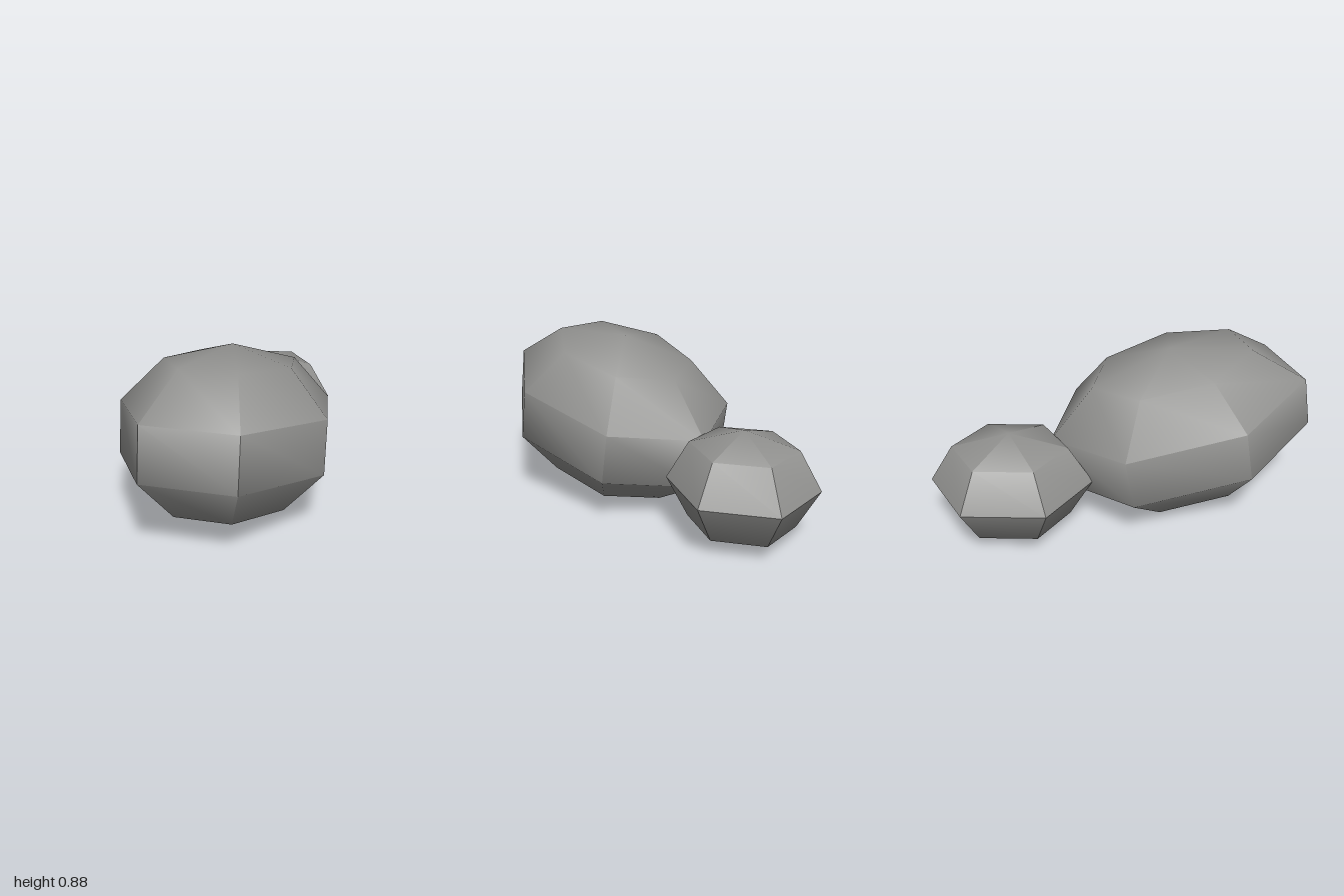
import * as THREE from 'three';
import { mergeVertices, toCreasedNormals } from 'three/addons/utils/BufferGeometryUtils.js';

const CREASE = 0.85;

// Low-poly unit sphere stretched along three axis vectors, then moved to its centre
function makeRock(name, material, sides, rings, axes, centre) {
  const [x, y, z] = axes.map((a) => new THREE.Vector3(...a));
  let geometry = new THREE.SphereGeometry(1, sides, rings);
  geometry.applyMatrix4(new THREE.Matrix4().makeBasis(x, y, z));
  geometry.deleteAttribute('normal');
  geometry.deleteAttribute('uv');
  geometry = toCreasedNormals(mergeVertices(geometry, 1e-4), CREASE);
  const mesh = new THREE.Mesh(geometry, material);
  mesh.name = name;
  mesh.position.set(...centre);
  return mesh;
}

export function createModel() {
  const group = new THREE.Group();
  group.name = 'rocks';

  const stone = new THREE.MeshStandardMaterial({ color: 0x929290 });
  stone.name = 'stone grey';

  // Large boulder, tilted and slightly skewed
  group.add(makeRock('largeRock', stone, 7, 5,
    [[0.714, -0.121, 0], [0.07, 0.435, -0.025], [-0.123, 0.058, 0.588]],
    [-0.30, 0.45, 0.071]));

  // Small upright rock touching its back left end
  group.add(makeRock('smallRock', stone, 6, 4,
    [[0.42, 0, 0], [0, 0.285, 0], [0, 0, 0.376]],
    [0.58, 0.285, -0.305]));

  return group;
}
